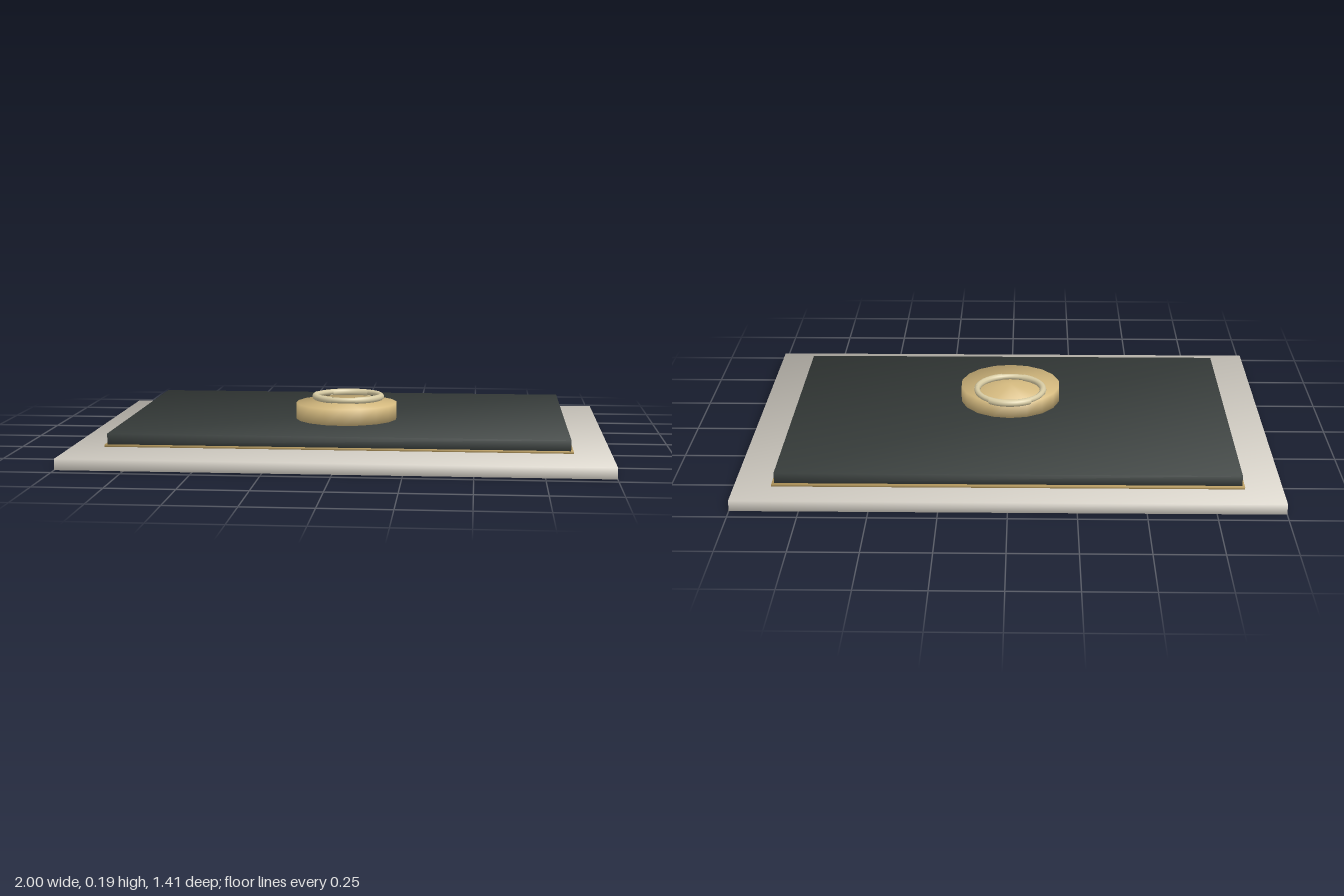
import * as THREE from 'three';

const ivory = new THREE.MeshStandardMaterial({ color: 0xded9cf });
const charcoal = new THREE.MeshStandardMaterial({ color: 0x3d4341 });
const brass = new THREE.MeshStandardMaterial({ color: 0xb89b5e });
const gold = new THREE.MeshStandardMaterial({ color: 0xd6bb80 });
const paleGold = new THREE.MeshStandardMaterial({ color: 0xd8cca4 });

// Normals lean outward at every rim, so shading flows over the edges.
function soften(geometry, hx, hy, hz) {
  const { position, normal } = geometry.attributes;
  const n = new THREE.Vector3();
  for (let i = 0; i < position.count; i++) {
    n.fromBufferAttribute(position, i).divide(new THREE.Vector3(hx, hy, hz)).normalize();
    normal.setXYZ(i, n.x, n.y, n.z);
  }
  return geometry;
}

function slab(name, material, w, d, y0, y1, z) {
  const h = y1 - y0;
  const geometry = soften(new THREE.BoxGeometry(w, h, d), w / 2, h / 2, d / 2);
  const mesh = new THREE.Mesh(geometry, material);
  mesh.name = name;
  mesh.position.set(0, y0 + h / 2, z);
  return mesh;
}

// Part of a horizontal ring; angles run from +x towards -z.
function ringArc(name, tube, start, sweep, y) {
  const geometry = new THREE.TorusGeometry(0.13, tube, 10, 40, sweep);
  geometry.rotateZ(start).rotateX(-Math.PI / 2);
  const mesh = new THREE.Mesh(geometry, paleGold);
  mesh.material.side = THREE.DoubleSide;
  mesh.name = name;
  mesh.position.y = y;
  return mesh;
}

export function createModel() {
  const model = new THREE.Group();

  // Stacked plates
  model.add(slab('basePlate', ivory, 2, 1.41, 0, 0.041, 0));
  model.add(slab('trimPlate', brass, 1.714, 1.15, 0.056, 0.064, -0.044));
  model.add(slab('darkPanel', charcoal, 1.696, 1.13, 0.064, 0.104, -0.042));

  // Round boss, set forward of the centre
  const r = 0.197, h = 0.062;
  const boss = new THREE.Mesh(soften(new THREE.CylinderGeometry(r, r, h, 18), r, h / 2, r), gold);
  boss.name = 'boss';
  boss.position.set(0, 0.104 + h / 2, 0.085);
  model.add(boss);

  // Ring with three thicker sleeves
  const ring = new THREE.Group();
  ring.name = 'ring';
  ring.add(ringArc('ringCore', 0.011, 0, Math.PI * 2, 0.178));
  ring.add(ringArc('backSleeve', 0.014, 0.95, 1.25, 0.175));
  ring.add(ringArc('leftSleeve', 0.013, -1.3, 1.2, 0.178));
  ring.add(ringArc('rightSleeve', 0.013, 2.9, 1.4, 0.178));
  model.add(ring);

  return model;
}
